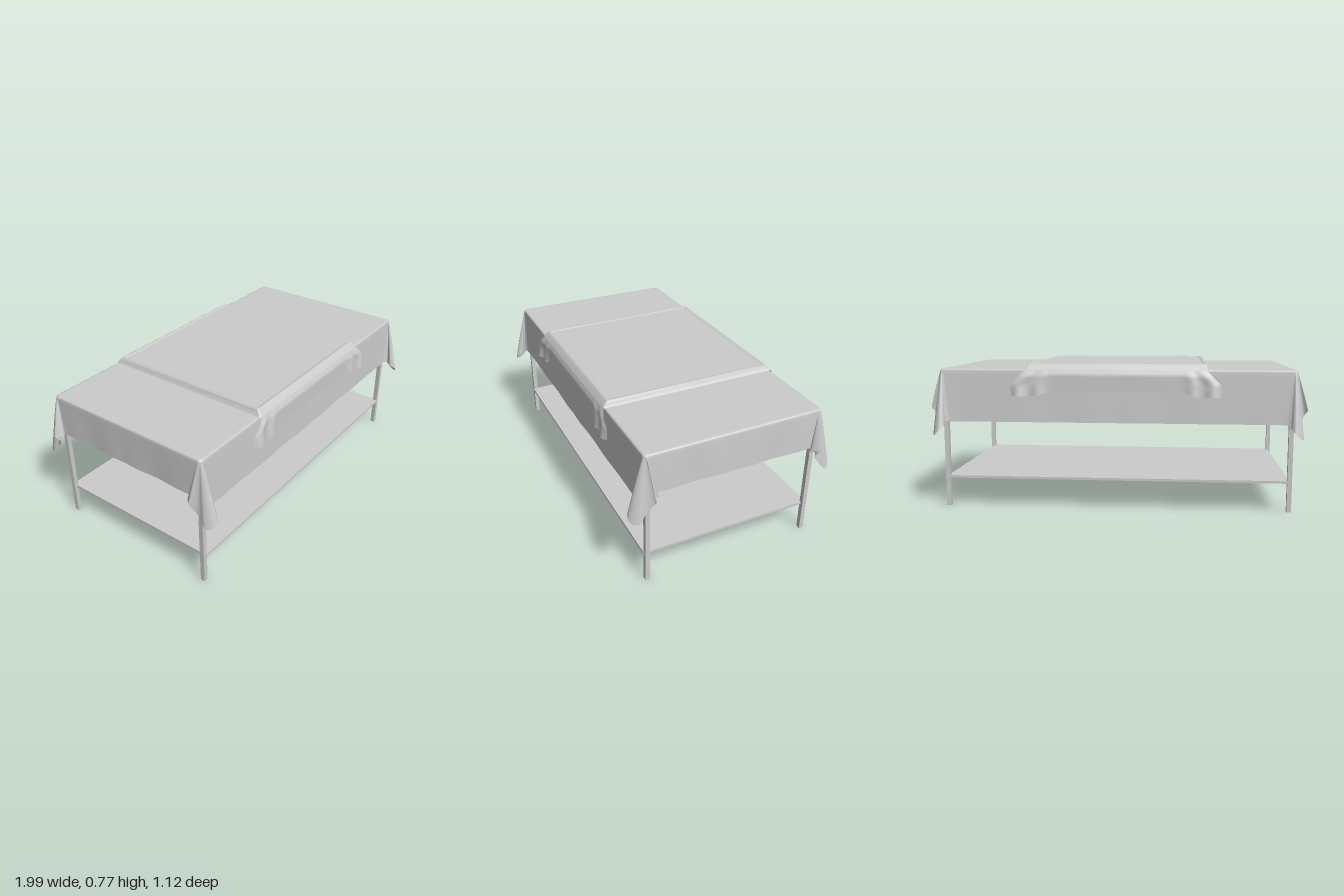
import * as THREE from 'three';

const material = new THREE.MeshStandardMaterial({ color: 0xcccccc, side: THREE.DoubleSide });
const V = (x, y, z) => new THREE.Vector3(x, y, z);

// Surface through rows of points; closed rows wrap round.
function loft(rows, closed) {
  const n = rows[0].length, cols = closed ? n : n - 1, index = [];
  for (let i = 0; i < rows.length - 1; i++) {
    for (let j = 0; j < cols; j++) {
      const k = (j + 1) % n, a = i * n + j, b = i * n + k, c = a + n, d = b + n;
      index.push(a, b, d, a, d, c);
    }
  }
  const g = new THREE.BufferGeometry().setFromPoints(rows.flat());
  g.setIndex(index);
  g.computeVertexNormals();
  return g;
}

function add(parent, name, geometry, x = 0, y = 0, z = 0) {
  const mesh = new THREE.Mesh(geometry, material);
  mesh.name = name;
  mesh.position.set(x, y, z);
  parent.add(mesh);
  return mesh;
}

// Mirror a quarter outline (from +x round to +z) into a full loop.
function mirrorQuarter(points) {
  const signs = [[1, 1], [-1, 1], [-1, -1], [1, -1]];
  return signs.flatMap(([sx, sz], q) => {
    const part = points.map(p => V(p.x * sx, p.y, p.z * sz));
    if (q % 2) part.reverse();
    return part.slice(0, -1);
  });
}

// Tablecloth: a flat top, hanging skirts and gathered corner folds.
function tableclothGeometry() {
  const hx = 0.935, hz = 0.48, r = 0.02;
  const top = [], hem = [];
  for (let i = 0; i < 12; i++) {
    const z = 0.43 * i / 12;
    top.push(V(hx, 0.735, z * 1.07));
    hem.push(V(0.942 + 0.003 * Math.sin(z * 22), 0.535, z));
  }
  const fold = new THREE.CatmullRomCurve3([
    V(0.943, 0.535, 0.43), V(0.962, 0.53, 0.42), V(0.995, 0.54, 0.45),
    V(0.976, 0.505, 0.437), V(0.958, 0.45, 0.475), V(0.967, 0.4, 0.52),
    V(0.95, 0.402, 0.55), V(0.92, 0.43, 0.56), V(0.899, 0.457, 0.53),
    V(0.918, 0.468, 0.505), V(0.885, 0.466, 0.49),
  ], false, 'centripetal');
  const steps = 50;
  for (let i = 0; i <= steps; i++) {
    const a = i / steps * Math.PI / 2;
    top.push(V(hx - r + r * Math.cos(a), 0.735, hz - r + r * Math.sin(a)));
    hem.push(fold.getPoint(i / steps));
  }
  for (let i = 1; i <= 24; i++) {
    const x = 0.885 * (1 - i / 24);
    top.push(V(x * 1.034, 0.735, hz));
    hem.push(V(x, 0.466, 0.488 + 0.003 * Math.sin(x * 16) * (1 - x)));
  }
  const inset = (d, y) => top.map(p => V(p.x * (1 - d / hx), y, p.z * (1 - d / hz)));
  const rows = [top.map(() => V(0, 0.745, 0)), inset(0.02, 0.745), inset(0.008, 0.745),
    inset(0.002, 0.742), top];
  const levels = 14;
  for (let k = 1; k <= levels; k++) {
    const s = k / levels, h = Math.pow(s, 0.9);
    rows.push(top.map((p, j) => V(
      THREE.MathUtils.lerp(p.x, hem[j].x, h),
      THREE.MathUtils.lerp(p.y, hem[j].y, s),
      THREE.MathUtils.lerp(p.z, hem[j].z, h))));
  }
  return loft(rows.map(mirrorQuarter), true);
}

// Covered tray: nested rectangles [half width, half depth, height].
function trayGeometry() {
  const rings = [[0, 0, 0.77], [0.444, 0.438, 0.77], [0.45, 0.444, 0.771], [0.455, 0.449, 0.775],
    [0.463, 0.457, 0.775], [0.468, 0.463, 0.772], [0.472, 0.475, 0.758], [0.482, 0.486, 0.744]];
  return loft(rings.map(([x, z, y]) => {
    const r = Math.min(0.008, x), quarter = [V(x, y, 0)];
    for (let i = 0; i <= 4; i++) {
      const a = i / 4 * Math.PI / 2;
      quarter.push(V(x - r + r * Math.cos(a), y, z - r + r * Math.sin(a)));
    }
    quarter.push(V(0, y, z));
    return mirrorQuarter(quarter);
  }), true);
}

// Short overhang of the upper cloth, with rippled ends.
function overhangGeometry() {
  const n = 96, rows = [];
  const step = THREE.MathUtils.smoothstep;
  for (let k = 0; k <= 12; k++) {
    const s = k / 12, row = [];
    for (let j = 0; j <= n; j++) {
      const u = 1 - 2 * j / n, a = Math.abs(u);
      const end = step(a, 0.68, 0.85);
      const hemY = 0.632 - 0.026 * end + 0.004 * Math.sin(u * 9) * (1 - end);
      const spread = Math.min(1, s * 1.8);
      const x = u * (0.47 + 0.078 * step(a, 0.6, 1) * spread);
      const ripple = end * s * (0.013 + 0.011 * Math.sin(a * 42));
      const z = 0.484 + 0.013 * Math.min(1, s * 4) + ripple;
      row.push(V(x, THREE.MathUtils.lerp(0.746, hemY, s), z));
    }
    rows.push(row);
  }
  return loft(rows, false);
}

export function createModel() {
  const model = new THREE.Group();
  model.name = 'coveredTable';

  // Frame
  const leg = new THREE.BoxGeometry(0.024, 0.72, 0.024);
  for (const x of [-0.912, 0.912]) {
    for (const z of [-0.457, 0.457]) add(model, 'leg', leg, x, 0.36, z);
  }
  add(model, 'tableTop', new THREE.BoxGeometry(1.85, 0.022, 0.945), 0, 0.729, 0);
  add(model, 'shelf', new THREE.BoxGeometry(1.82, 0.013, 0.945), 0, 0.162, 0);

  // Cloths
  add(model, 'tablecloth', tableclothGeometry());
  add(model, 'coveredTray', trayGeometry(), -0.005, 0, 0);
  const overhang = overhangGeometry();
  add(model, 'frontOverhang', overhang);
  add(model, 'backOverhang', overhang).rotation.y = Math.PI;

  return model;
}
